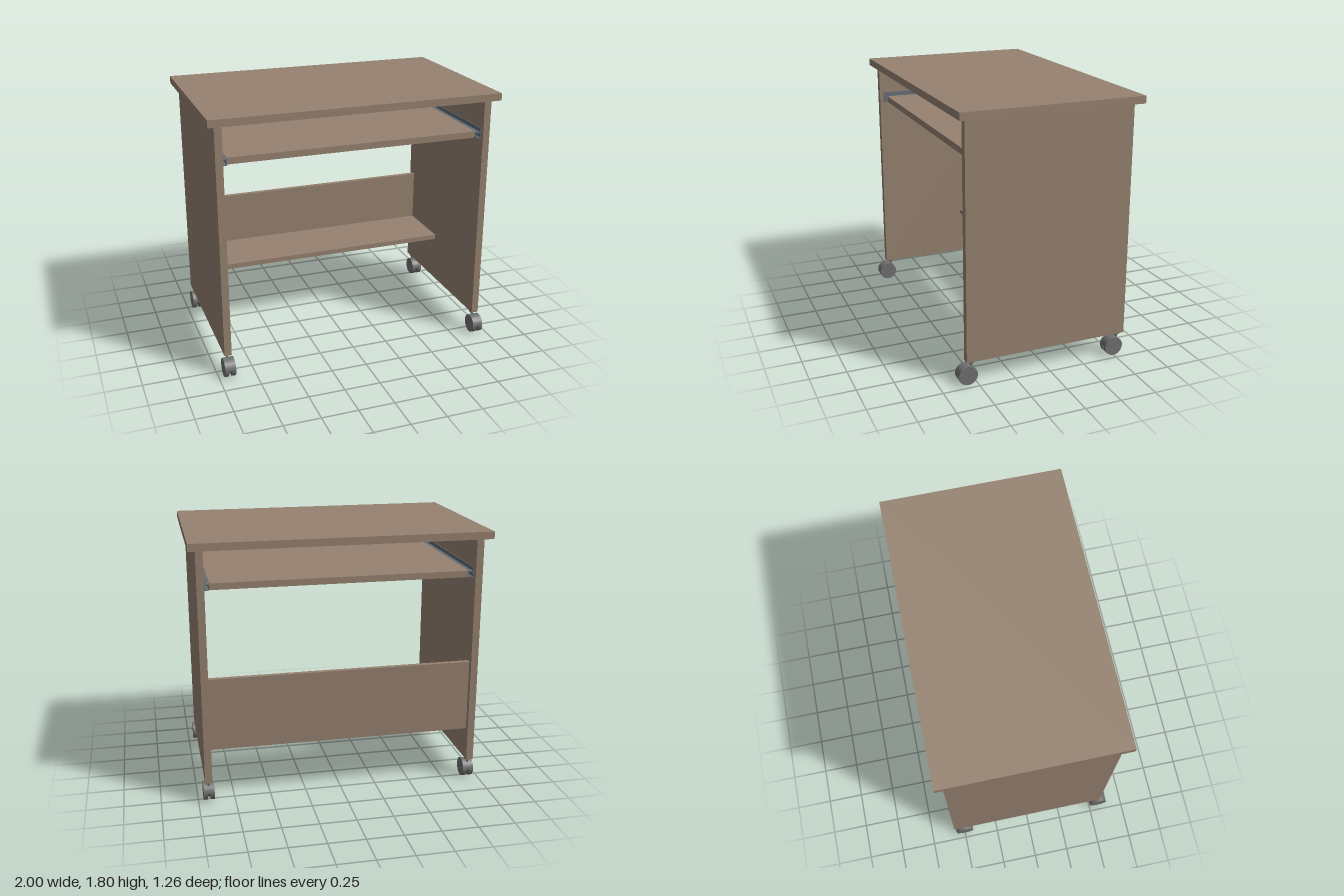
import * as THREE from 'three';

const wood = new THREE.MeshStandardMaterial({ color: 0x968270 });
wood.name = 'wood';
const casterGrey = new THREE.MeshStandardMaterial({ color: 0x707070 });
casterGrey.name = 'casterGrey';
const railSteel = new THREE.MeshStandardMaterial({ color: 0x646e76 });
railSteel.name = 'railSteel';

// Box given by its minimum and maximum on each axis
function slab(name, material, [x0, x1], [y0, y1], [z0, z1]) {
  const mesh = new THREE.Mesh(new THREE.BoxGeometry(x1 - x0, y1 - y0, z1 - z0), material);
  mesh.name = name;
  mesh.position.set((x0 + x1) / 2, (y0 + y1) / 2, (z0 + z1) / 2);
  return mesh;
}

// Mirrors an x range to the chosen side
const onSide = (s, a, b) => (s > 0 ? [a, b] : [-b, -a]);

// Twin-wheel swivel caster; its origin is on the floor below the stem
function createCaster() {
  const caster = new THREE.Group();
  const R = 0.065, trail = 0.035;
  const add = (name, geometry, x, y, z) => {
    const mesh = new THREE.Mesh(geometry, casterGrey);
    mesh.name = name;
    mesh.position.set(x, y, z);
    caster.add(mesh);
  };
  for (const s of [-1, 1]) {
    add('wheel', new THREE.CylinderGeometry(R, R, 0.026, 32).rotateZ(Math.PI / 2), s * 0.024, R, trail);
  }
  // Hub and upper hood fill the gap between the wheels
  add('hub', new THREE.CylinderGeometry(0.045, 0.045, 0.024, 24).rotateZ(Math.PI / 2), 0, R, trail);
  add('hood', new THREE.CylinderGeometry(0.064, 0.064, 0.024, 24, 1, false, 0, Math.PI).rotateZ(Math.PI / 2), 0, R, trail);
  add('stem', new THREE.CylinderGeometry(0.008, 0.008, 0.06, 16), 0, 0.115, 0);
  add('mountPlate', new THREE.CylinderGeometry(0.02, 0.02, 0.012, 24), 0, 0.146, 0);
  return caster;
}

export function createModel() {
  const desk = new THREE.Group();
  desk.name = 'rollingDesk';

  // Panels
  desk.add(slab('deskTop', wood, [-1, 1], [1.755, 1.805], [-0.628, 0.618]));
  desk.add(slab('backPanel', wood, [-0.903, 0.903], [0.38, 0.88], [-0.54, -0.505]));
  desk.add(slab('shelf', wood, [-0.903, 0.903], [0.48, 0.515], [-0.505, -0.075]));
  desk.add(slab('keyboardTray', wood, [-0.868, 0.868], [1.482, 1.526], [-0.53, 0.52]));

  for (const s of [-1, 1]) {
    desk.add(slab('sidePanel', wood, onSide(s, 0.903, 0.952), [0.152, 1.755], [-0.576, 0.571]));

    // Tray runner: wall plate, two lips and the inner slide
    const rail = new THREE.Group();
    rail.name = 'trayRail';
    const z = [-0.54, 0.545];
    rail.add(slab('railPlate', railSteel, onSide(s, 0.897, 0.903), [1.48, 1.552], z));
    rail.add(slab('railLowerLip', railSteel, onSide(s, 0.874, 0.897), [1.482, 1.488], z));
    rail.add(slab('railUpperLip', railSteel, onSide(s, 0.874, 0.897), [1.518, 1.524], z));
    rail.add(slab('slide', railSteel, onSide(s, 0.868, 0.874), [1.482, 1.524], [-0.535, 0.53]));
    desk.add(rail);

    // Casters at the front and back of each side
    for (const cz of [0.53, -0.533]) {
      const caster = createCaster();
      caster.name = cz > 0 ? 'frontCaster' : 'backCaster';
      caster.position.set(s * 0.927, 0, cz);
      desk.add(caster);
    }
  }
  return desk;
}
